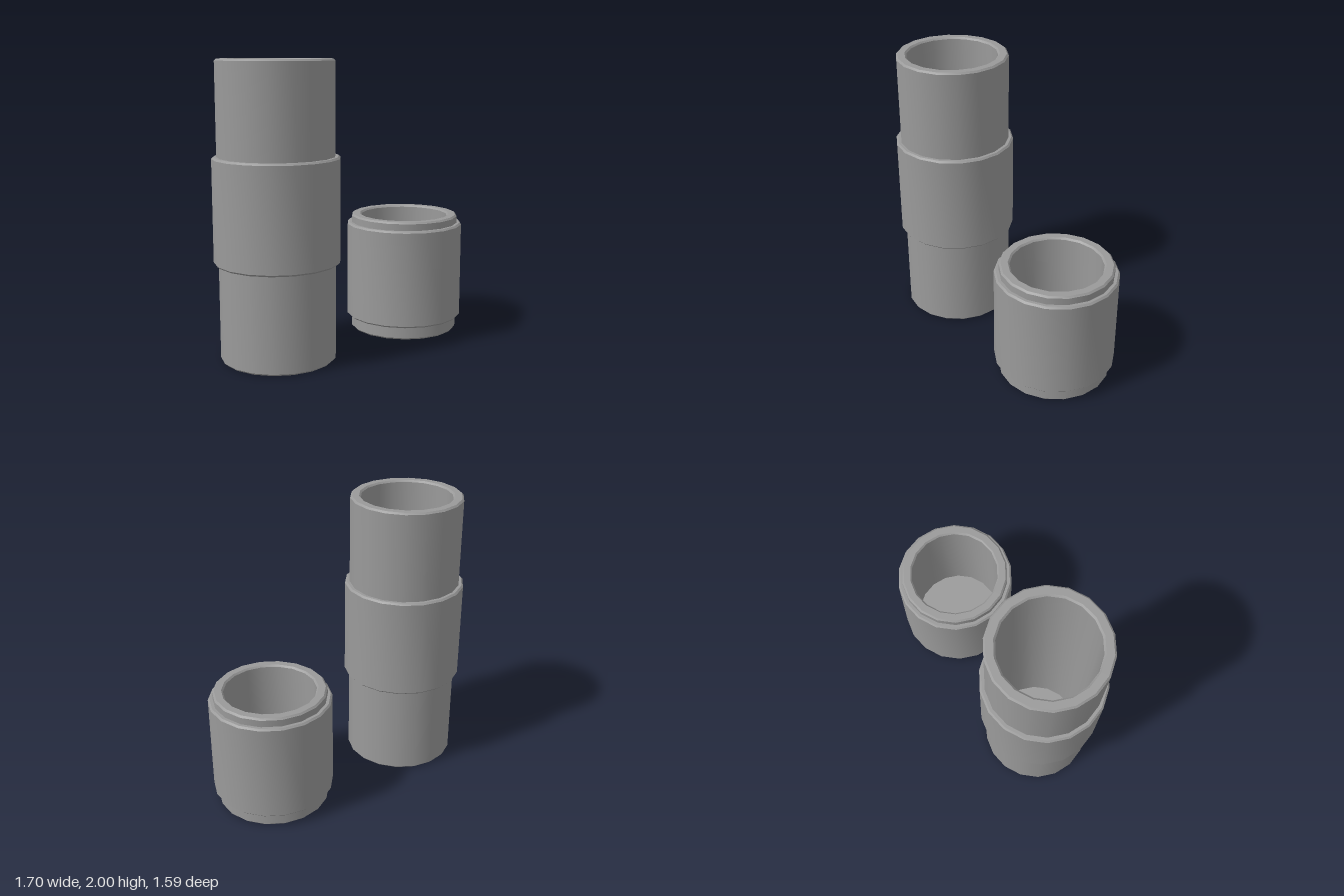
import * as THREE from 'three';
import { toCreasedNormals } from 'three/addons/utils/BufferGeometryUtils.js';

const SIDES = 18;
const TUBE_R = 0.391, BORE_R = 0.318, SLEEVE_R = 0.424;
const BEVEL = 0.012, FLOOR = 0.066;
const material = new THREE.MeshStandardMaterial({ color: 0x9a9a9a });

// Faceted round part from a profile of [radius, height] points
function turned(name, profile) {
  const points = profile.map(([r, y]) => new THREE.Vector2(r, y));
  const geometry = toCreasedNormals(new THREE.LatheGeometry(points, SIDES), 0.45);
  const mesh = new THREE.Mesh(geometry, material);
  mesh.name = name;
  return mesh;
}

// Hollow cup with a closed base and a bevelled rim
function cup(height) {
  return turned('cup', [
    [0, 0], [TUBE_R - BEVEL, 0], [TUBE_R, BEVEL],
    [TUBE_R, height - BEVEL], [TUBE_R - BEVEL, height],
    [BORE_R + BEVEL, height], [BORE_R, height - BEVEL],
    [BORE_R, FLOOR], [0, FLOOR],
  ]);
}

// Bevelled band around the cup
function sleeve(bottom, top) {
  const inner = TUBE_R - 0.01;
  return turned('sleeve', [
    [inner, bottom], [SLEEVE_R - BEVEL, bottom], [SLEEVE_R, bottom + BEVEL],
    [SLEEVE_R, top - BEVEL], [SLEEVE_R - BEVEL, top], [inner, top],
  ]);
}

function container(name, x, z, height, bandBottom, bandTop) {
  const group = new THREE.Group();
  group.name = name;
  group.add(cup(height), sleeve(bandBottom, bandTop));
  group.position.set(x, 0, z);
  return group;
}

export function createModel() {
  const model = new THREE.Group();
  model.name = 'containers';
  model.add(
    container('tallContainer', -0.434, 0.372, 2, 0.659, 1.37),
    container('shortContainer', 0.434, -0.372, 0.858, 0.095, 0.798),
  );
  return model;
}
